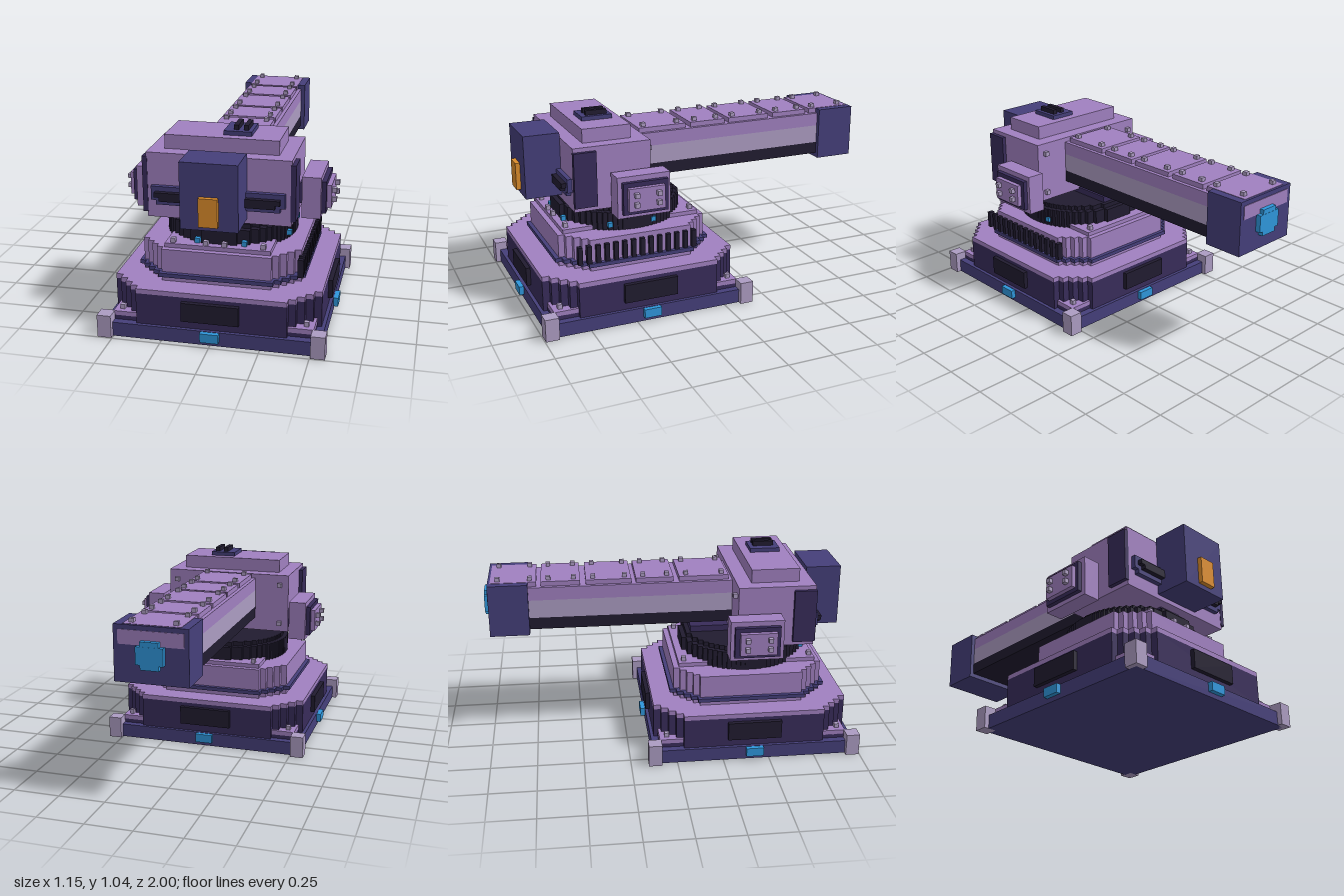
import * as THREE from 'three';

const mat = (color) => new THREE.MeshStandardMaterial({ color, flatShading: true });
const lilac = mat(0xa080c0), plum = mat(0x382c5a), black = mat(0x211c30), navy = mat(0x453f7a);
const pale = mat(0xac9cc2), blue = mat(0x2f97dc), orange = mat(0xdd8d2c);
const CZ = 0.42; // centre of the base along z

export function createModel() {
  const root = new THREE.Group();
  root.name = 'turret';

  const group = (name) => {
    const g = new THREE.Group();
    g.name = name;
    root.add(g);
    return g;
  };
  // Box given by its limits on each axis
  const box = (parent, name, m, x0, x1, y0, y1, z0, z1) => {
    const mesh = new THREE.Mesh(new THREE.BoxGeometry(x1 - x0, y1 - y0, z1 - z0), m);
    mesh.position.set((x0 + x1) / 2, (y0 + y1) / 2, (z0 + z1) / 2);
    mesh.name = name;
    parent.add(mesh);
    return mesh;
  };
  const cube = (parent, name, m, x, y, z, r = 0.012) =>
    box(parent, name, m, x - r, x + r, y - r, y + r, z - r, z + r);

  // Slab whose outline runs through one quadrant's corner points, mirrored to all four
  const slab = (parent, name, m, quadrant, y0, y1) => {
    const back = [...quadrant].reverse();
    const pts = [
      ...quadrant,
      ...back.map(([x, z]) => [-x, z]),
      ...quadrant.map(([x, z]) => [-x, -z]),
      ...back.map(([x, z]) => [x, -z]),
    ].map(([x, z]) => new THREE.Vector2(x, z));
    const geo = new THREE.ExtrudeGeometry(new THREE.Shape(pts), { depth: y1 - y0, bevelEnabled: false });
    geo.rotateX(-Math.PI / 2);
    const mesh = new THREE.Mesh(geo, m);
    mesh.position.set(0, y0, CZ);
    mesh.name = name;
    parent.add(mesh);
  };
  // Square with staircase corners
  const steppedSquare = (h, cut, n) => {
    const pts = [[h, h - cut]], s = cut / n;
    for (let i = 0; i < n; i++) {
      pts.push([h - (i + 1) * s, h - cut + i * s], [h - (i + 1) * s, h - cut + (i + 1) * s]);
    }
    return pts;
  };
  // Circle cut into n rows
  const steppedCircle = (r, n) => {
    const pts = [], s = r / n;
    for (let i = 0; i < n; i++) {
      const x = Math.sqrt(r * r - (i * s + s / 2) ** 2);
      if (i) pts.push([x, i * s]);
      pts.push([x, (i + 1) * s]);
    }
    return pts;
  };

  // Ground plate and corner feet
  const base = group('base');
  box(base, 'groundPlate', navy, -0.55, 0.55, 0, 0.075, CZ - 0.55, CZ + 0.55);
  box(base, 'baseStep', plum, -0.51, 0.51, 0.075, 0.097, CZ - 0.51, CZ + 0.51);
  for (const sx of [-1, 1]) for (const sz of [-1, 1]) {
    const corner = new THREE.Group();
    corner.name = 'baseCorner';
    corner.position.set(sx * 0.54, 0, CZ + sz * 0.54);
    base.add(corner);
    box(corner, 'foot', pale, -0.036, 0.036, 0, 0.12, -0.036, 0.036);
    const bracket = box(corner, 'cornerBracket', lilac, -0.065, 0.065, 0.095, 0.12, -0.065, 0.065);
    bracket.position.x = -sx * 0.095;
    bracket.position.z = -sz * 0.095;
    cube(corner, 'cornerRivet', pale, -sx * 0.07, 0.132, -sz * 0.07);
  }
  slab(base, 'lowerHull', plum, steppedSquare(0.532, 0.15, 4), 0.075, 0.24);
  slab(base, 'lowerDeck', lilac, steppedSquare(0.532, 0.15, 4), 0.24, 0.265);

  // Vent and lamp on each side of the base
  for (let i = 0; i < 4; i++) {
    const side = group('baseSide');
    side.position.z = CZ;
    side.rotation.y = i * Math.PI / 2;
    box(side, 'baseVent', black, -0.145, 0.145, 0.12, 0.22, 0.52, 0.555);
    box(side, 'baseLamp', blue, -0.047, 0.047, 0.025, 0.073, 0.54, 0.575);
  }

  // Upper tier with its trim band and louvres on the left
  const tier = group('upperTier');
  slab(tier, 'tierHull', lilac, steppedSquare(0.41, 0.13, 4), 0.265, 0.435);
  slab(tier, 'tierBand', navy, steppedSquare(0.432, 0.14, 4), 0.292, 0.313);
  box(tier, 'ringSeat', lilac, -0.27, 0.27, 0.435, 0.457, 0.04, 0.8);
  for (let i = 0; i < 14; i++) {
    const z = 0.115 + i * 0.0485;
    box(tier, 'louvre', black, 0.4, 0.431, 0.315, 0.41, z, z + 0.024);
  }

  // Rotating ring, bolts and lamps
  const ring = group('turretRing');
  slab(ring, 'ringGear', black, steppedCircle(0.342, 14), 0.435, 0.532);
  slab(ring, 'ringTop', black, steppedCircle(0.315, 12), 0.532, 0.556);
  box(ring, 'neck', plum, -0.07, 0.07, 0.55, 0.59, 0.13, 0.71);
  for (const x of [-0.23, 0.23]) for (const z of [0.07, 0.775]) cube(ring, 'ringBolt', pale, x, 0.469, z);
  for (const x of [-0.06, 0.035]) cube(ring, 'ringBolt', pale, x, 0.469, 0.785);
  for (const [x, z] of [[-0.11, 0.755], [0.13, 0.755], [0.325, 0.56], [0.325, 0.32]]) {
    cube(ring, 'ringLamp', blue, x, 0.47, z, 0.0125);
  }

  // Turret housing
  const head = group('head');
  box(head, 'housing', lilac, -0.365, 0.365, 0.58, 0.917, 0.345, 0.76);
  box(head, 'roof', lilac, -0.29, 0.29, 0.917, 0.99, 0.425, 0.685);
  box(head, 'hatch', navy, 0, 0.142, 0.99, 1.012, 0.472, 0.637);
  for (const x of [0.047, 0.097]) box(head, 'hatchRib', black, x, x + 0.024, 1.012, 1.037, 0.495, 0.61);
  box(head, 'sensorBox', navy, -0.143, 0.143, 0.605, 0.942, 0.76, 0.952);
  box(head, 'sensorEye', orange, -0.047, 0.047, 0.63, 0.775, 0.952, 0.976);

  // Front slots, side panels and side pods, mirrored
  for (const s of [-1, 1]) {
    const mbox = (name, m, x0, x1, ...rest) =>
      box(head, name, m, Math.min(s * x0, s * x1), Math.max(s * x0, s * x1), ...rest);
    mbox('slotFrame', navy, 0.14, 0.337, 0.678, 0.75, 0.75, 0.785);
    mbox('slotFrameLower', navy, 0.14, 0.312, 0.655, 0.678, 0.75, 0.785);
    mbox('slot', black, 0.14, 0.315, 0.7, 0.725, 0.77, 0.81);
    mbox('slotLower', black, 0.14, 0.29, 0.68, 0.7, 0.77, 0.81);
    mbox('sidePanel', plum, 0.36, 0.386, 0.605, 0.895, 0.642, 0.762);
    mbox('podAxle', plum, 0.36, 0.39, 0.61, 0.72, 0.36, 0.5);
    mbox('pod', lilac, 0.385, 0.482, 0.556, 0.775, 0.285, 0.57);
    mbox('podFrame', plum, 0.482, 0.506, 0.58, 0.748, 0.305, 0.547);
    mbox('podCover', lilac, 0.506, 0.53, 0.602, 0.724, 0.33, 0.525);
    for (const y of [0.64, 0.69]) for (const z of [0.367, 0.487]) {
      cube(head, 'podBolt', pale, s * 0.541, y, z);
    }
    for (const y of [0.63, 0.86]) cube(head, 'backBolt', pale, s * 0.315, y, 0.334);
  }

  // Barrel in three coloured layers with riveted top plates
  const barrel = group('barrel');
  box(barrel, 'barrelUpper', lilac, -0.167, 0.167, 0.82, 0.892, -0.976, 0.36);
  box(barrel, 'barrelMiddle', pale, -0.167, 0.167, 0.72, 0.82, -0.76, 0.36);
  box(barrel, 'barrelLower', black, -0.167, 0.167, 0.655, 0.72, -0.76, 0.36);
  const plates = [[-0.96, -0.715], [-0.69, -0.48], [-0.45, -0.205], [-0.18, 0.025], [0.055, 0.325]];
  for (const [z0, z1] of plates) {
    box(barrel, 'topPlate', lilac, -0.147, 0.147, 0.885, 0.918, z0, z1);
    for (const x of [-0.112, 0.112]) for (const z of [z0 + 0.04, z1 - 0.035]) {
      cube(barrel, 'plateRivet', pale, x, 0.926, z);
    }
  }
  box(barrel, 'muzzleBlock', navy, -0.19, 0.19, 0.63, 0.916, -0.973, -0.76);
  box(barrel, 'muzzleLamp', blue, -0.07, 0.07, 0.73, 0.82, -1, -0.96);
  box(barrel, 'muzzleLampTall', blue, -0.047, 0.047, 0.706, 0.845, -0.999, -0.96);

  return root;
}
